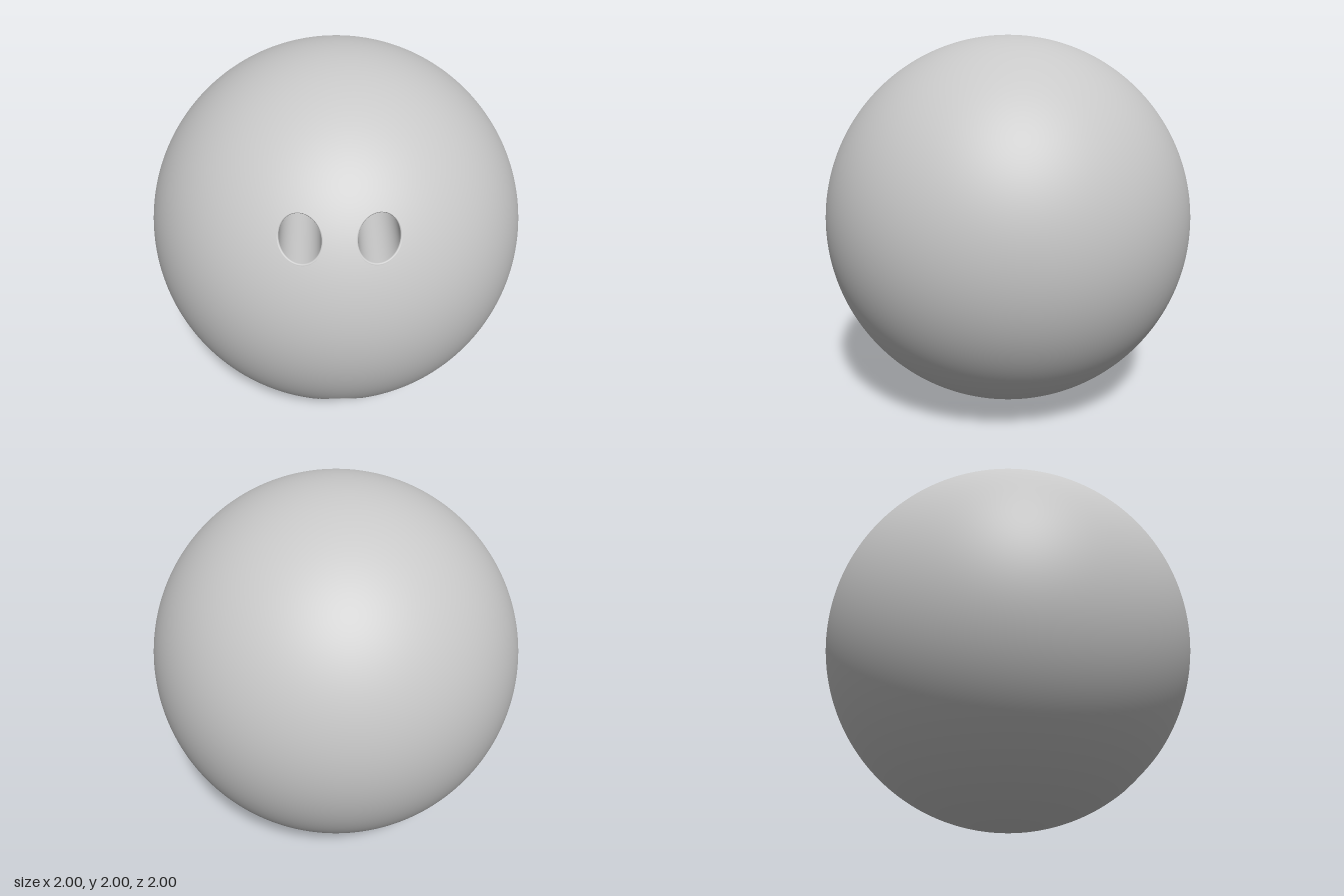
import * as THREE from 'three';

// Finger and thumb holes, all drilled straight along z (coordinates from the ball centre)
const HOLES = [
  { name: 'rightFingerHole', x: -0.17, y: 0.49, rim: 0.1, bore: 0.092, floor: 0.3 },
  { name: 'leftFingerHole', x: 0.17, y: 0.49, rim: 0.1, bore: 0.092, floor: 0.3 },
  { name: 'thumbHole', x: 0, y: -0.665, rim: 0.123, bore: 0.112, floor: 0.2 },
];

const surfaceZ = (x, y) => Math.sqrt(Math.max(0, 1 - x * x - y * y));

// Sphere with round openings: drop faces inside a hole, snap the edge to its rim
function ballGeometry() {
  const geo = new THREE.SphereGeometry(1, 256, 160);
  const pos = geo.attributes.position;
  const normal = geo.attributes.normal;
  const holeOf = [];
  for (let i = 0; i < pos.count; i++) {
    const x = pos.getX(i), y = pos.getY(i);
    const hole = pos.getZ(i) > 0
      ? HOLES.find((h) => Math.hypot(x - h.x, y - h.y) < h.rim) : undefined;
    holeOf.push(hole);
    if (!hole) continue;
    const a = Math.atan2(y - hole.y, x - hole.x);
    const nx = hole.x + hole.rim * Math.cos(a);
    const ny = hole.y + hole.rim * Math.sin(a);
    pos.setXYZ(i, nx, ny, surfaceZ(nx, ny));
    normal.setXYZ(i, nx, ny, surfaceZ(nx, ny));
  }
  const kept = [];
  const index = geo.index.array;
  for (let i = 0; i < index.length; i += 3) {
    const [a, b, c] = [index[i], index[i + 1], index[i + 2]];
    if (!(holeOf[a] && holeOf[b] && holeOf[c])) kept.push(a, b, c);
  }
  geo.setIndex(kept);
  return geo;
}

// Rounded lip that follows the ball, then a straight bore down to the floor
function wallGeometry({ x, y, rim, bore, floor }) {
  const SEG = 64, LIP = 6, fillet = rim - bore;
  const rows = [{ r: rim + 0.002, d: 0.001 }];
  for (let k = 0; k <= LIP; k++) {
    const t = (k / LIP) * Math.PI / 2;
    rows.push({ r: bore + fillet * (1 - Math.sin(t)), d: 0.001 + fillet * (1 - Math.cos(t)) });
  }
  rows.push({ r: bore, d: 0.06 }, { r: bore, floor });
  const points = [], faces = [];
  rows.forEach((row, j) => {
    for (let i = 0; i < SEG; i++) {
      const a = (i / SEG) * Math.PI * 2, c = Math.cos(a), s = Math.sin(a);
      const edge = j === 0 ? row.r : rim;
      const top = surfaceZ(x + edge * c, y + edge * s);
      points.push(x + row.r * c, y + row.r * s, row.floor ?? top - row.d);
      if (j === 0) continue;
      const n = (i + 1) % SEG, p = (j - 1) * SEG, q = j * SEG;
      faces.push(p + i, p + n, q + i, p + n, q + n, q + i);
    }
  });
  const geo = new THREE.BufferGeometry();
  geo.setAttribute('position', new THREE.Float32BufferAttribute(points, 3));
  geo.setIndex(faces);
  geo.computeVertexNormals();
  return geo;
}

export function createModel() {
  const model = new THREE.Group();
  model.name = 'bowlingBall';
  const grey = new THREE.MeshStandardMaterial({ color: 0xc8c8c8 });
  grey.name = 'lightGrey';

  const add = (parent, name, geometry) => {
    const mesh = new THREE.Mesh(geometry, grey);
    mesh.name = name;
    parent.add(mesh);
    return mesh;
  };

  add(model, 'ball', ballGeometry());

  // Each hole has a wall and a flat floor
  for (const hole of HOLES) {
    const group = new THREE.Group();
    group.name = hole.name;
    add(group, 'holeWall', wallGeometry(hole));
    add(group, 'holeFloor', new THREE.CircleGeometry(hole.bore, 64))
      .position.set(hole.x, hole.y, hole.floor);
    model.add(group);
  }

  model.children.forEach((part) => { part.position.y += 1; });
  return model;
}
